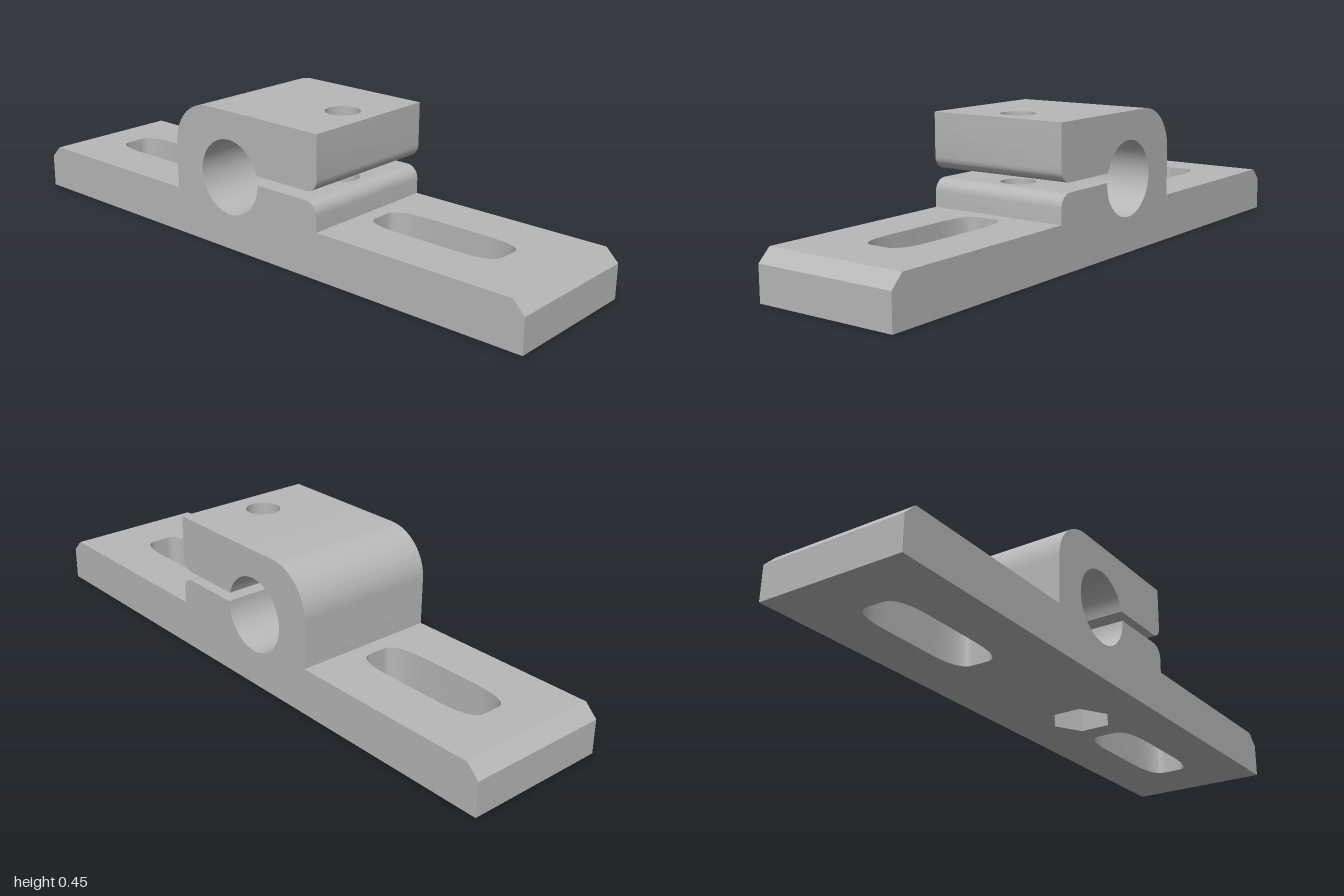
import * as THREE from 'three';
import { toCreasedNormals } from 'three/addons/utils/BufferGeometryUtils.js';

const HALF_DEPTH = 0.24;   // half of the part's depth in z
const BOLT = { x: 0.175, r: 0.055, hexR: 0.1 };
const SPLIT = 0.06;        // where the bore block ends and the jaws begin
const LEFT = -0.317, RIGHT = 0.285, TOP = 0.45, PLATE = 0.15;

// Horizontal slab from xIn to xOut with vertical holes. Each layer is [y, inset],
// where inset pulls the outer edge back to form chamfers and fillets.
function slab(xIn, xOut, hole, layers) {
  const a = Math.min(xIn, xOut), b = Math.max(xIn, xOut);
  const shape = new THREE.Shape([
    new THREE.Vector2(a, -HALF_DEPTH), new THREE.Vector2(b, -HALF_DEPTH),
    new THREE.Vector2(b, HALF_DEPTH), new THREE.Vector2(a, HALF_DEPTH),
  ]);
  shape.holes.push(hole);
  const steps = layers.length - 1;
  const geo = new THREE.ExtrudeGeometry(shape, { depth: steps, steps, bevelEnabled: false, curveSegments: 16 });
  const pos = geo.attributes.position;
  for (let i = 0; i < pos.count; i++) {
    const [y, inset] = layers[Math.round(pos.getZ(i))];
    if (Math.abs(pos.getX(i) - xOut) < 1e-5) pos.setX(i, xOut - Math.sign(xOut) * inset);
    pos.setZ(i, y);
  }
  geo.rotateX(-Math.PI / 2);
  return toCreasedNormals(geo, 0.5);
}

// Long mounting slot with softly rounded ends
function slotHole(x0, x1) {
  const h = 0.0775, e = 0.028, run = 0.13;
  const p = new THREE.Path();
  p.moveTo(x0, -e);
  p.bezierCurveTo(x0, -0.055, x0 + 0.03, -h, x0 + run, -h);
  p.lineTo(x1 - run, -h);
  p.bezierCurveTo(x1 - 0.03, -h, x1, -0.055, x1, -e);
  p.lineTo(x1, e);
  p.bezierCurveTo(x1, 0.055, x1 - 0.03, h, x1 - run, h);
  p.lineTo(x0 + run, h);
  p.bezierCurveTo(x0 + 0.03, h, x0, 0.055, x0, e);
  p.closePath();
  return p;
}

function boltHole() {
  return new THREE.Path().absarc(BOLT.x, 0, BOLT.r, 0, Math.PI * 2, false);
}

// Hexagonal nut pocket with corners on the z axis
function hexHole() {
  const pts = [];
  for (let i = 0; i < 6; i++) {
    const a = Math.PI / 2 + i * Math.PI / 3;
    pts.push(new THREE.Vector2(BOLT.x + BOLT.hexR * Math.cos(a), BOLT.hexR * Math.sin(a)));
  }
  pts.push(pts[0].clone());
  return new THREE.Path(pts);
}

// Layers of a quarter-round edge; dir +1 rounds the top at y, -1 rounds the bottom
function filletLayers(y, r, dir) {
  const out = [];
  for (let i = 0; i <= 6; i++) {
    const a = (i / 6) * Math.PI / 2;
    out.push([y - dir * r * (1 - Math.sin(a)), r * (1 - Math.cos(a))]);
  }
  return dir > 0 ? out : out.reverse();
}

// Block around the bore, open towards the clamping gap
function boreBlock() {
  const cx = -0.078, cy = 0.237, r = 0.122, round = 0.145, gapLow = 0.24, gapHigh = 0.27;
  const s = new THREE.Shape();
  s.moveTo(SPLIT, 0);
  s.lineTo(SPLIT, gapLow);
  s.absarc(cx, cy, r, Math.asin((gapLow - cy) / r), Math.asin((gapHigh - cy) / r), true);
  s.lineTo(SPLIT, gapHigh);
  s.lineTo(SPLIT, TOP);
  s.absarc(LEFT + round, TOP - round, round, Math.PI / 2, Math.PI, false);
  s.lineTo(LEFT, 0);
  s.closePath();
  const geo = new THREE.ExtrudeGeometry(s, { depth: 2 * HALF_DEPTH, bevelEnabled: false, curveSegments: 24 });
  geo.translate(0, 0, -HALF_DEPTH);
  return toCreasedNormals(geo, 0.5);
}

export function createModel() {
  const model = new THREE.Group();
  model.name = 'clampBracket';
  const grey = new THREE.MeshStandardMaterial({ color: 0xb8b8b8 });
  grey.name = 'grey';
  const add = (name, geo) => {
    const mesh = new THREE.Mesh(geo, grey);
    mesh.name = name;
    model.add(mesh);
  };

  // Slotted feet with chamfered ends
  const footLayers = [[0, 0], [0.11, 0], [PLATE, 0.04]];
  add('rightFoot', slab(LEFT, -1, slotHole(-0.825, -0.37), footLayers));
  add('leftFoot', slab(RIGHT, 1, slotHole(0.335, 0.79), footLayers));

  // Clamp body
  add('boreBlock', boreBlock());
  add('nutPocket', slab(SPLIT, RIGHT, hexHole(), [[0, 0], [0.09, 0]]));
  add('lowerJaw', slab(SPLIT, RIGHT, boltHole(), [[0.09, 0], ...filletLayers(0.24, 0.04, 1)]));
  add('upperJaw', slab(SPLIT, RIGHT, boltHole(), [...filletLayers(0.27, 0.04, -1), [TOP, 0]]));

  return model;
}
